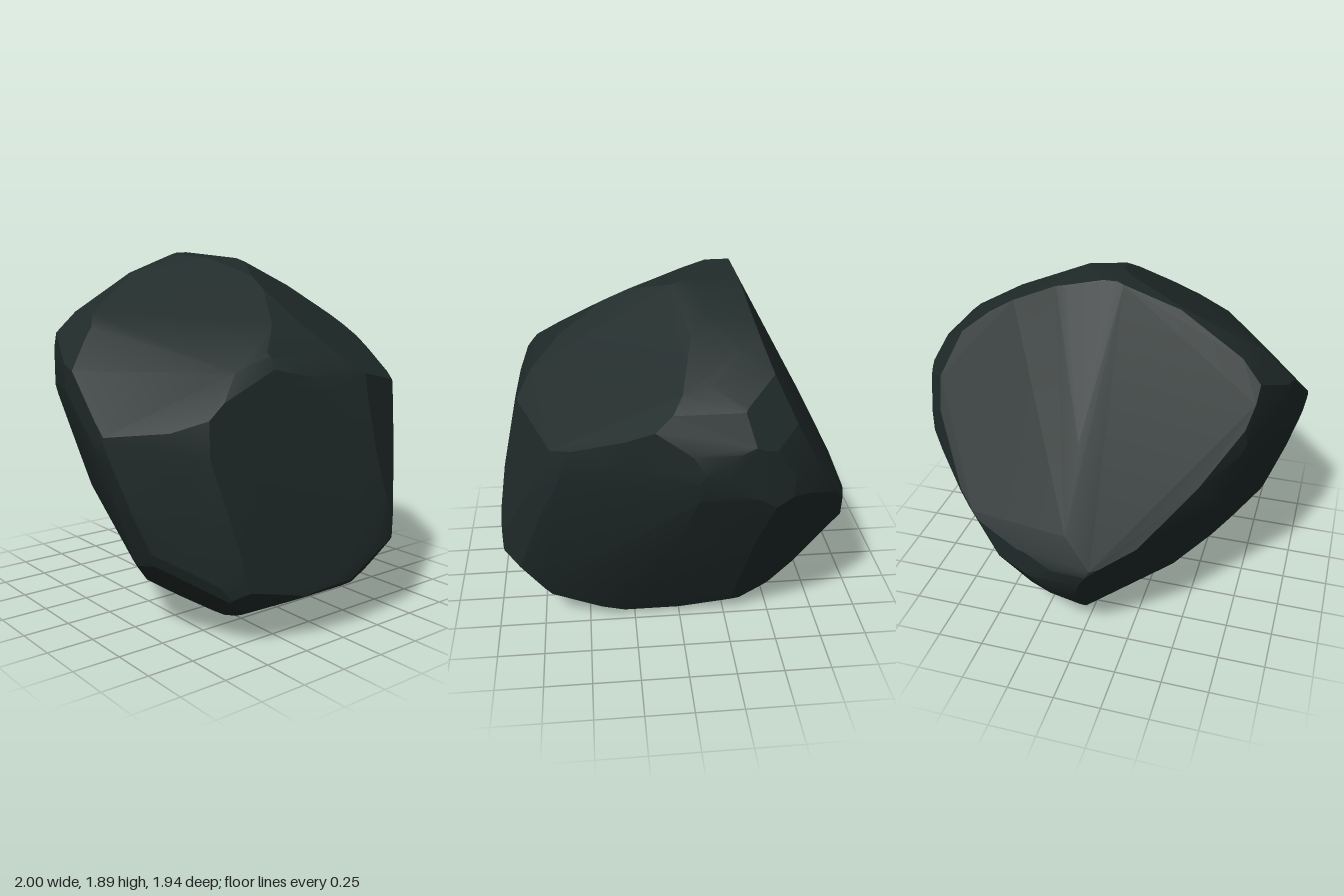
import * as THREE from 'three';
import { ConvexGeometry } from 'three/addons/geometries/ConvexGeometry.js';
import { toCreasedNormals } from 'three/addons/utils/BufferGeometryUtils.js';

const V = (x, y, z) => new THREE.Vector3(x, y, z);
const centre = V(0, 0.945, 0);

// A plane around the boulder, kept as its dual point n / distance.
function cut(duals, normal, point) {
  const n = normal.clone().normalize();
  const h = n.dot(point.clone().sub(centre));
  if (h > 0.05) duals.push(n.divideScalar(h));
}

// Cuts along every edge of an outline lying in the plane of two axes.
function cutOutline(duals, flat, right, up, origin) {
  const pts = [];
  for (let i = 0; i < flat.length; i += 2) {
    pts.push(origin.clone().addScaledVector(right, flat[i]).addScaledVector(up, flat[i + 1]));
  }
  const view = right.clone().cross(up);
  pts.forEach((p, i) => {
    const q = pts[(i + 1) % pts.length];
    const n = q.clone().sub(p).cross(view);
    const mid = p.clone().add(q).multiplyScalar(0.5);
    if (n.dot(mid.clone().sub(centre)) < 0) n.negate();
    cut(duals, n, mid);
  });
}

function boulderGeometry() {
  const duals = [];
  const O = V(0, 0, 0), X = V(1, 0, 0), Y = V(0, 1, 0), Z = V(0, 0, 1);

  // main outlines: x-y, z-y and x-z
  cutOutline(duals, [-0.07, 1.89, 0, 1.89, 0.24, 1.84, 0.46, 1.75, 0.64, 1.65, 0.79, 1.55,
    0.89, 1.46, 0.98, 1.29, 1, 1.2, 0.97, 1.05, 0.8, 0.67, 0.46, 0.03, 0.41, 0, -0.29, 0.03,
    -0.42, 0.08, -0.63, 0.2, -0.73, 0.29, -0.78, 0.35, -0.82, 0.44, -0.91, 0.68, -0.97, 0.9,
    -1, 1.03, -0.95, 1.3, -0.81, 1.47, -0.71, 1.58, -0.39, 1.78], X, Y, O);
  cutOutline(duals, [-0.31, 1.89, -0.06, 1.86, 0.24, 1.77, 0.33, 1.73, 0.6, 1.54, 0.75, 1.4,
    0.82, 1.3, 0.85, 1.2, 0.94, 0.8, 0.97, 0.42, 0.955, 0.27, 0.91, 0.23, 0.66, 0.11, 0.45, 0.04,
    0.27, 0, -0.3, 0.04, -0.5, 0.06, -0.68, 0.11, -0.88, 0.36, -0.95, 0.5, -0.97, 0.58,
    -0.89, 0.82], Z, Y, O);
  cutOutline(duals, [-0.08, -0.97, 0.09, -0.97, 0.28, -0.94, 0.52, -0.87, 0.7, -0.75, 0.9, -0.51,
    0.96, -0.34, 0.99, -0.18, 1, -0.07, 0.88, 0.3, 0.73, 0.63, 0.5, 0.88, 0.4, 0.95, 0.3, 0.965,
    -0.02, 0.95, -0.25, 0.92, -0.62, 0.84, -0.74, 0.72, -1, 0.39, -0.92, -0.1, -0.8, -0.43,
    -0.71, -0.6, -0.47, -0.78, -0.28, -0.9], X, Z, O);

  // diagonal outlines round off the corners
  const tilt = THREE.MathUtils.degToRad(25);
  const d = Math.SQRT1_2, c = Math.cos(tilt), s = Math.sin(tilt) * d;
  cutOutline(duals, [0, 1, 0.19, 0.98, 0.39, 0.89, 0.75, 0.63, 0.89, 0.45, 0.99, 0.23, 1.01, -0.04,
    0.55, -0.84, 0.16, -1.06, -0.17, -1.05, -0.53, -0.99, -0.74, -0.91, -0.96, -0.69, -0.98, -0.6,
    -1.01, -0.21, -1.04, 0.18, -0.99, 0.3, -0.76, 0.57, -0.375, 0.88, -0.11, 1],
  V(d, 0, -d), V(-s, c, -s), centre);
  cutOutline(duals, [-0.81, 0.66, -0.64, 0.75, -0.41, 0.83, -0.05, 0.87, 0.14, 0.86, 0.5, 0.71,
    0.71, 0.57, 1, 0.24, 1.03, 0.02, 0.98, -0.5, 0.95, -0.56, 0.6, -0.79, 0.01, -0.98,
    -0.275, -1.03, -0.35, -1.02, -0.52, -0.93, -0.7, -0.78, -0.92, -0.5, -1.01, -0.17,
    -1.025, 0.04, -1.01, 0.22, -0.95, 0.46], V(-d, 0, d), V(s, c, s), centre);
  cutOutline(duals, [-0.13, 1, 0.025, 1, 0.19, 0.97, 0.47, 0.81, 0.725, 0.54, 0.88, 0.37, 0.9, 0.31,
    0.88, 0.08, 0.77, -0.23, 0.635, -0.58, 0.52, -0.8, 0.41, -0.92, 0.16, -1.03, -0.15, -1.13,
    -0.56, -0.98, -0.74, -0.87, -0.95, -0.63, -0.96, -0.15, -0.955, 0.23, -0.91, 0.41,
    -0.79, 0.63, -0.57, 0.82, -0.31, 0.96], V(-d, 0, -d), V(s, c, -s), centre);

  // broad chipped faces
  const chips = [
    [V(-0.13, 0.12, 0.985), V(0.3, 0.35, 0.985)],     // front
    [V(0.42, 0.21, 0.88), V(0.32, 1, 0.88)],          // front, +x side
    [V(0.917, -0.225, 0.328), V(0.75, 1.17, 0.65)],   // +x flank
    [V(0.9, -0.36, 0.18), V(0.75, 0.6, 0.16)],        // +x flank, lower
    [V(0.372, 0.79, 0.478), V(0.9, 1.32, 0.3)],       // upper slope, +x side
    [V(-0.41, 0.85, 0.345), V(-0.45, 1.77, -0.33)],   // upper slope, -x side
    [V(-0.61, 0.69, 0.385), V(-0.4, 1.365, 0.77)],    // -x shoulder
    [V(-0.8, -0.49, -0.35), V(-0.66, 0.5, -0.15)],    // -x underside, middle
    [V(-0.9, -0.3, -0.32), V(-0.71, 1.13, -0.62)],    // -x underside, upper
    [V(-0.6, -0.5, -0.62), V(-0.28, 0.72, -0.9)],     // -x underside, rear
    [V(-0.55, -0.75, -0.36), V(-0.05, 0.05, -0.45)],  // -x underside, lower
    [V(-0.17, 0.44, -0.865), V(0, 1.88, -0.335)],     // back
    [V(0.09, 0.46, -0.89), V(0, 1.88, -0.335)],       // back, +x side
  ];
  chips.forEach(([n, p]) => cut(duals, n, p));

  // every face of the dual hull is one corner of the boulder
  const pos = new ConvexGeometry(duals).getAttribute('position');
  const corners = [];
  for (let i = 0; i < pos.count; i += 3) {
    const [a, b, e] = [0, 1, 2].map((k) => V(0, 0, 0).fromBufferAttribute(pos, i + k));
    const m = b.sub(a).cross(e.sub(a));
    const w = m.dot(a);
    if (Math.abs(w) < 1e-9) continue;
    const p = m.divideScalar(w).add(centre);
    if (p.distanceTo(centre) < 1.6 && !corners.some((q) => q.distanceTo(p) < 0.015)) corners.push(p);
  }
  return toCreasedNormals(new ConvexGeometry(corners), 0.35);
}

export function createModel() {
  const group = new THREE.Group();
  group.name = 'rock';
  const stone = new THREE.MeshStandardMaterial({ color: 0x1f2a29 });
  stone.name = 'darkStone';
  const boulder = new THREE.Mesh(boulderGeometry(), stone);
  boulder.name = 'boulder';
  group.add(boulder);
  return group;
}
